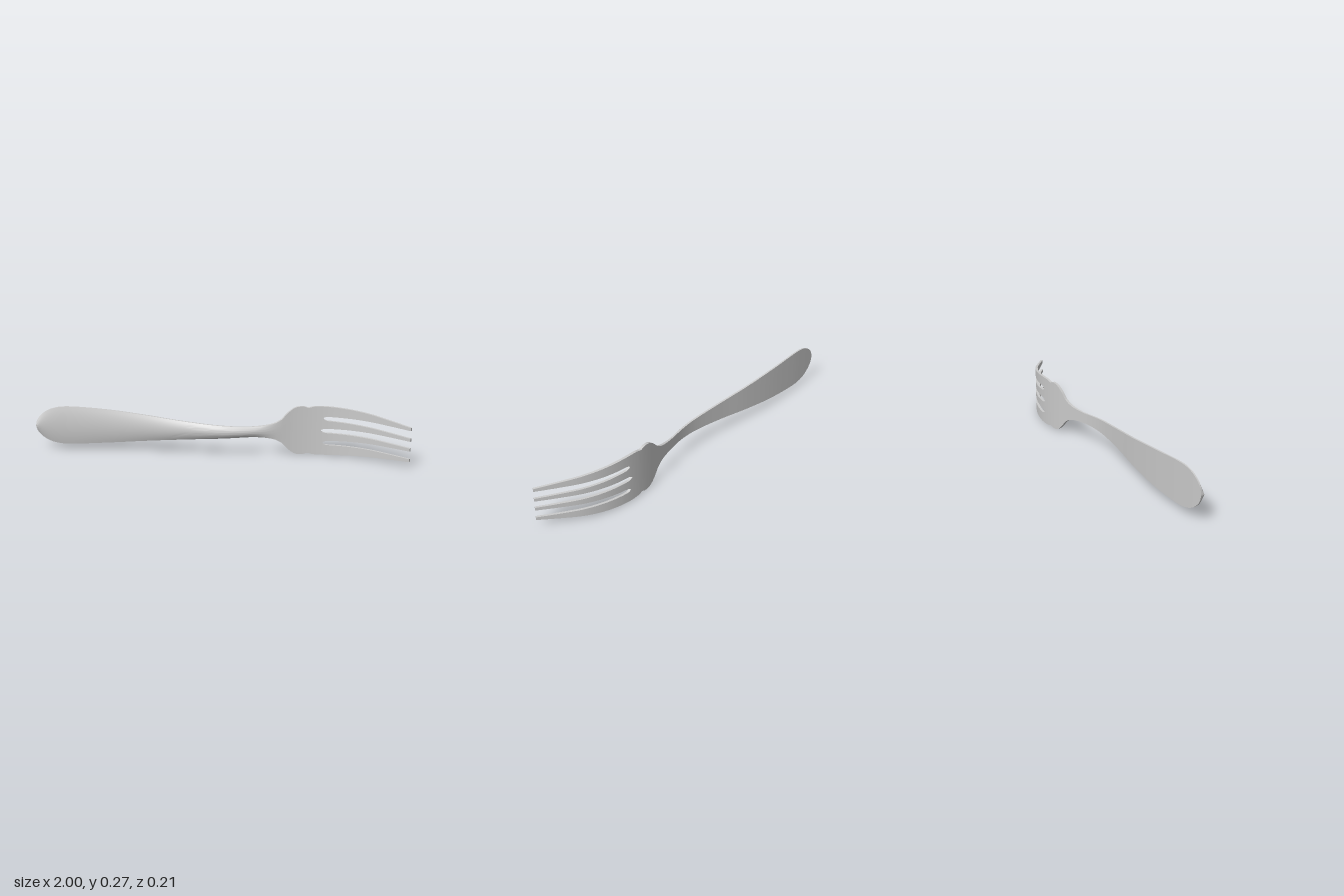
import * as THREE from 'three';
import { toCreasedNormals } from 'three/addons/utils/BufferGeometryUtils.js';

const MID = 0.137; // height of the fork's long axis

// Smooth function of x through a few [x, value] points
function curve(points) {
  const samples = new THREE.CatmullRomCurve3(
    points.map(([x, v]) => new THREE.Vector3(x, v, 0))).getPoints(500);
  return (x) => {
    let i = 1;
    while (i < samples.length - 1 && samples[i].x < x) i++;
    const a = samples[i - 1], b = samples[i];
    const t = THREE.MathUtils.clamp((x - a.x) / (b.x - a.x || 1), 0, 1);
    return a.y + (b.y - a.y) * t;
  };
}

// Side profile of the back face, thickness and half width along x
const backZ = curve([[-1, -0.098], [-0.9, -0.103], [-0.8, -0.106], [-0.6, -0.103], [-0.4, -0.087],
  [-0.2, -0.061], [0, -0.043], [0.1, -0.047], [0.2, -0.063], [0.3, -0.08], [0.4, -0.098],
  [0.5, -0.106], [0.6, -0.1], [0.7, -0.077], [0.8, -0.035], [0.9, 0.028], [1, 0.097]]);
const thickness = curve([[-1, 0.018], [-0.8, 0.022], [-0.4, 0.026], [0, 0.027], [0.2, 0.022],
  [0.35, 0.015], [0.6, 0.014], [1, 0.012]]);
const halfWidth = curve([[-1, 0.002], [-0.993, 0.03], [-0.97, 0.06], [-0.93, 0.087], [-0.88, 0.102],
  [-0.82, 0.106], [-0.6, 0.093], [-0.4, 0.073], [-0.2, 0.052], [0, 0.036], [0.17, 0.029],
  [0.25, 0.035], [0.3, 0.047], [0.33, 0.065], [0.36, 0.098], [0.4, 0.128], [0.43, 0.135],
  [0.45, 0.134], [0.472, 0.127], [0.5, 0.134], [0.56, 0.136], [0.65, 0.132], [0.8, 0.119], [1, 0.093]]);
// How rounded the front face is: full on the handle, flat on the head
const dome = (x) => 0.6 * (1 - THREE.MathUtils.smoothstep(x, 0.15, 0.36));

// Point on the bent fork: x along, y across, d above the back face
function bend(x, y, d) {
  const slope = (backZ(x + 0.01) - backZ(x - 0.01)) / 0.02;
  const s = Math.abs(x) > 0.985 ? (x > 0 ? 0.68 : 0) : slope;
  const len = Math.hypot(1, s);
  return [x - (s / len) * d, y, backZ(x) + d / len];
}

// Solid lofted through cross-sections at xs, between heights low(x) and high(x)
function loft(name, xs, low, high, across, material) {
  const position = [], index = [], n = 2 * (across + 1);
  for (const x of xs) {
    const y0 = low(x), y1 = high(x), t = thickness(x), k = dome(x);
    for (let j = 0; j <= across; j++) {
      const u = 1 - (2 * j) / across;
      position.push(...bend(x, (y0 + y1) / 2 + (u * (y1 - y0)) / 2, t * (1 - k * u * u)));
    }
    for (let j = 0; j <= across; j++) position.push(...bend(x, y0 + ((y1 - y0) * j) / across, 0));
  }
  for (let i = 0; i < xs.length - 1; i++) {
    for (let j = 0; j < n; j++) {
      const a = i * n + j, b = i * n + ((j + 1) % n);
      index.push(a, b, a + n, b, b + n, a + n);
    }
  }
  const last = (xs.length - 1) * n;
  for (let j = 1; j < n - 1; j++) index.push(0, j + 1, j, last, last + j, last + j + 1);
  const geometry = new THREE.BufferGeometry();
  geometry.setAttribute('position', new THREE.Float32BufferAttribute(position, 3));
  geometry.setIndex(index);
  const mesh = new THREE.Mesh(toCreasedNormals(geometry, Math.PI / 5), material);
  mesh.name = name;
  return mesh;
}

const range = (a, b, count, ease = (t) => t) =>
  Array.from({ length: count + 1 }, (_, i) => a + (b - a) * ease(i / count));

export function createModel() {
  const group = new THREE.Group();
  group.name = 'fork';
  const steel = new THREE.MeshStandardMaterial({ color: 0xcccccc });
  const bottom = (x) => MID - halfWidth(x);
  const top = (x) => MID + halfWidth(x);

  // Handle with a rounded end, then the flat palm of the head
  const handleXs = [...range(-1, -0.8, 18, (t) => t * t), ...range(-0.8, 0.33, 40).slice(1)];
  group.add(loft('handle', handleXs, bottom, top, 12, steel));
  group.add(loft('palm', range(0.33, 0.54, 28), bottom, top, 8, steel));

  // Slots open with a rounded root, then widen towards the tips
  const slotOpen = (x, start) => Math.sqrt(THREE.MathUtils.clamp((x - start) / 0.02, 0, 1));
  const along = (x) => THREE.MathUtils.clamp((x - 0.56) / 0.44, 0, 1);
  const innerLow = (x) => slotOpen(x, 0.542) * (0.012 + 0.007 * along(x));
  const innerHigh = (x) => 0.069 - slotOpen(x, 0.553) * (0.012 + 0.022 * along(x));
  const outerLow = (x) => 0.069 + slotOpen(x, 0.553) * (0.011 - 0.003 * along(x));
  const tineXs = [...range(0.54, 0.58, 16), ...range(0.58, 1, 26).slice(1)];

  // Two pairs of tines mirrored about the long axis
  for (const [name, low, high] of [['innerTine', innerLow, innerHigh], ['outerTine', outerLow, halfWidth]]) {
    group.add(loft(name + 'Upper', tineXs, (x) => MID + low(x), (x) => MID + high(x), 2, steel));
    group.add(loft(name + 'Lower', tineXs, (x) => MID - high(x), (x) => MID - low(x), 2, steel));
  }
  return group;
}
